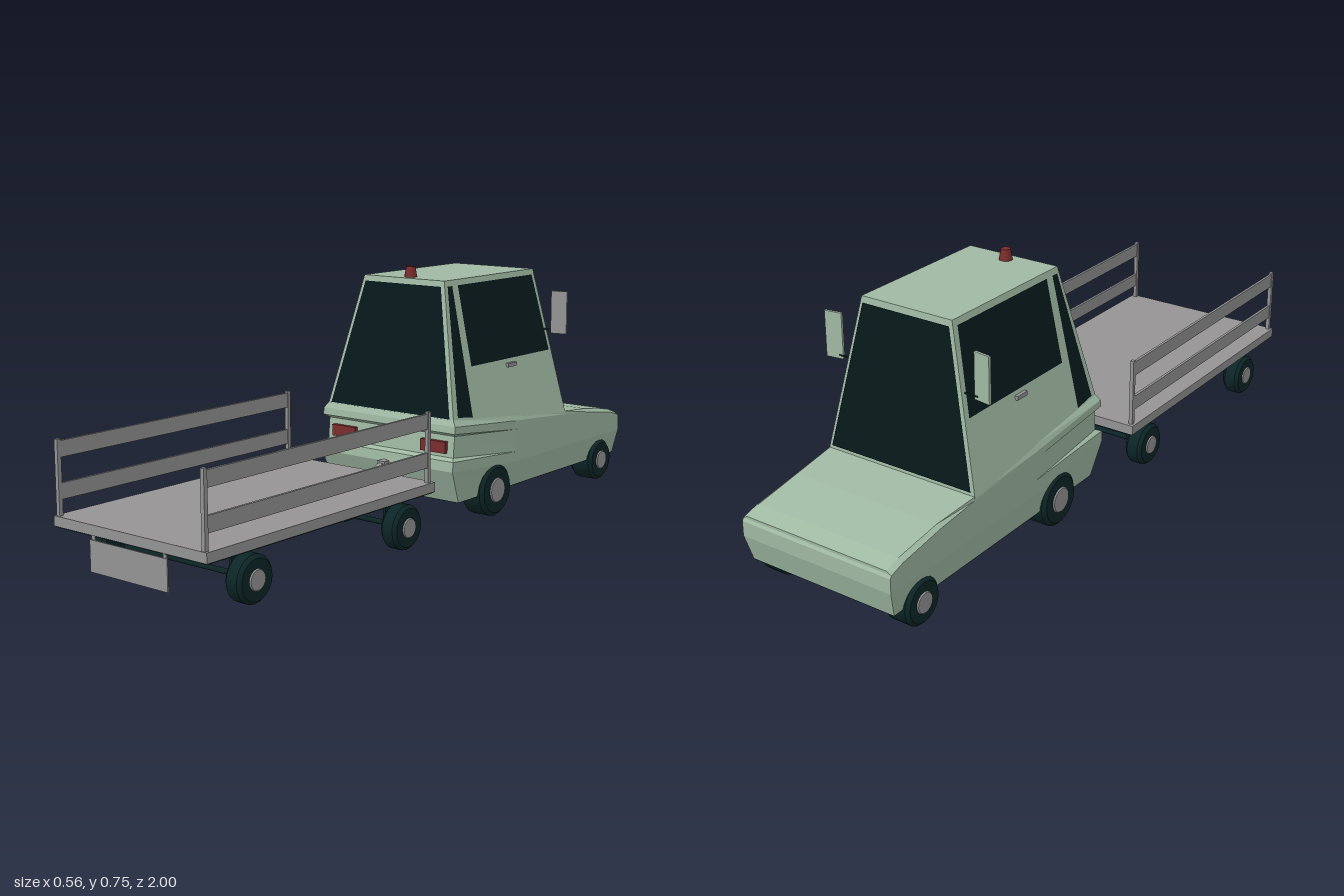
import * as THREE from 'three';
import { toCreasedNormals } from 'three/addons/utils/BufferGeometryUtils.js';

const mat = (name, color, side = THREE.FrontSide) => {
  const m = new THREE.MeshStandardMaterial({ color, side });
  m.name = name;
  return m;
};

export function createModel() {
  const model = new THREE.Group();
  model.name = 'tugAndTrailer';
  const green = mat('paleGreenPaint', 0x9fb9a3);
  const grey = mat('greyMetal', 0x959393);
  const tyre = mat('darkRubber', 0x0c2526);
  const glass = mat('darkGlass', 0x07191b, THREE.DoubleSide);
  const red = mat('redLamp', 0x7a2c2c);

  const add = (parent, name, geo, material, x = 0, y = 0, z = 0) => {
    const m = new THREE.Mesh(geo, material);
    m.name = name;
    m.position.set(x, y, z);
    parent.add(m);
    return m;
  };
  const box = (parent, name, material, w, h, d, x, y, z) =>
    add(parent, name, new THREE.BoxGeometry(w, h, d), material, x, y, z);
  // flat-shaded geometry from four-cornered faces
  const quads = (faces) => {
    const pos = [];
    for (const [a, b, c, d] of faces) pos.push(...a, ...b, ...c, ...a, ...c, ...d);
    const g = new THREE.BufferGeometry();
    g.setAttribute('position', new THREE.Float32BufferAttribute(pos, 3));
    g.computeVertexNormals();
    return g;
  };

  const tug = new THREE.Group();
  tug.name = 'tug';
  model.add(tug);

  // Lower body: half sections [x, y, z] from sill to top edge, nose to tail
  const section = (z, pts) => pts.map(([x, y, pz]) => [x, y, pz ?? z]);
  const plain = (z, sill, top, topX, drop, zTop = z) => section(z, [
    [0.24, 0.075, sill], [0.25, 0.15], [0.25, 0.18], [0.25, 0.19],
    [0.25, top - drop - 0.012], [0.25, top - drop - 0.008],
    [0.25, top - drop, zTop], [topX, top, zTop]]);
  const stations = [
    plain(-1, -0.98, 0.21, 0.235, 0.008, -0.995),
    plain(-0.95, -0.95, 0.226, 0.236, 0.01),
    plain(-0.8, -0.8, 0.25, 0.238, 0.01),
    plain(-0.655, -0.655, 0.265, 0.249, 0.01),
    section(-0.38, [[0.24, 0.075], [0.25, 0.15], [0.25, 0.18], [0.25, 0.19],
      [0.25, 0.25], [0.25, 0.256], [0.25, 0.277], [0.243, 0.295]]),
    section(-0.05, [[0.24, 0.075, -0.085], [0.25, 0.175, -0.04], [0.25, 0.205, -0.043],
      [0.238, 0.213, -0.06], [0.238, 0.277, -0.066], [0.25, 0.287, -0.05],
      [0.25, 0.308, -0.052], [0.237, 0.325, -0.06]]),
  ];
  const mirrorX = ([x, y, z]) => [-x, y, z];
  const rings = stations.map((s) => [...s, ...s.map(mirrorX).reverse()]);
  const faces = [];
  for (let i = 0; i < rings.length - 1; i++)
    for (let j = 0; j < rings[0].length - 1; j++)
      faces.push([rings[i][j], rings[i][j + 1], rings[i + 1][j + 1], rings[i + 1][j]]);
  const nose = stations[0], tail = stations[stations.length - 1];
  for (let j = 0; j < nose.length - 1; j++) {
    faces.push([tail[j], tail[j + 1], mirrorX(tail[j + 1]), mirrorX(tail[j])]);
    faces.push([mirrorX(nose[j]), mirrorX(nose[j + 1]), nose[j + 1], nose[j]]);
  }
  add(tug, 'lowerBody', quads(faces), green);
  box(tug, 'underside', tyre, 0.478, 0.006, 0.893, 0, 0.076, -0.5325);

  // Cab: planes lean inwards towards the roof
  const sideX = (y) => 0.15 + (0.72 - y) * 0.22;
  const frontZ = (y) => -0.605 - (0.72 - y) * 0.11;
  const rearZ = (y) => -0.13 + (0.72 - y) * 0.175;
  const corner = (s, y, zAt) => [s * sideX(y), y, zAt(y)];
  const [fl, fr] = [1, -1].map((s) => [corner(s, 0.26, frontZ), corner(s, 0.72, frontZ)]);
  const [rl, rr] = [1, -1].map((s) => [corner(s, 0.322, rearZ), corner(s, 0.72, rearZ)]);
  add(tug, 'cab', quads([
    [fl[0], fl[1], rl[1], rl[0]], [rr[0], rr[1], fr[1], fr[0]],
    [rl[0], rl[1], rr[1], rr[0]], [fr[0], fr[1], fl[1], fl[0]],
    [fl[1], fr[1], rr[1], rl[1]],
  ]), green);

  // Windows lie just outside the cab planes
  const endPane = (name, zAt, out, y0, y1, inset) => {
    const p = (s, y) => [s * (sideX(y) - inset), y, zAt(y) + out];
    const f = [p(1, y0), p(1, y1), p(-1, y1), p(-1, y0)];
    add(tug, name, quads([out > 0 ? f : f.reverse()]), glass);
  };
  endPane('rearWindow', rearZ, 0.003, 0.327, 0.703, 0.012);
  endPane('windscreen', frontZ, -0.003, 0.275, 0.703, 0.01);
  for (const s of [1, -1]) {
    const pane = (name, pts) => {
      const f = pts.map(([z, y]) => [s * (sideX(y) + 0.002), y, z]);
      add(tug, name, quads([s > 0 ? f : f.reverse()]), glass);
    };
    pane('doorWindow', [[-0.617, 0.465], [-0.59, 0.703], [-0.19, 0.703], [-0.19, 0.465]]);
    pane('quarterWindow', [[-0.155, 0.32], [-0.162, 0.703], [-0.139, 0.703], [-0.082, 0.33]]);
    box(tug, 'doorHandle', grey, 0.012, 0.012, 0.045, s * 0.213, 0.446, -0.395);

    // Wing mirror
    const wing = new THREE.Group();
    wing.name = 'wingMirror';
    wing.position.set(s * 0.248, 0.5875, -0.612);
    wing.rotation.y = s * 0.15;
    tug.add(wing);
    box(wing, 'mirrorShell', green, 0.053, 0.134, 0.005, 0, 0, 0);
    box(wing, 'mirrorGlass', grey, 0.053, 0.134, 0.003, 0, 0, 0.004);
    box(tug, 'mirrorArm', tyre, 0.05, 0.004, 0.004, s * 0.208, 0.531, -0.612);

    box(tug, 'tailLamp', red, 0.09, 0.035, 0.016, s * 0.17, 0.242, -0.058);
  }

  // Roof beacon
  add(tug, 'beacon', toCreasedNormals(new THREE.CylinderGeometry(0.014, 0.02, 0.034, 12), 0.7),
    red, 0, 0.735, -0.165);

  // Wheels with a chamfered tread and a grey hub
  const wheel = (parent, name, s, xIn, xOut, z, r, hubR) => {
    const w = (xOut - xIn) / 2;
    const profile = [[0, -w], [r * 0.86, -w], [r, -w + 0.01], [r, w - 0.01], [r * 0.86, w], [0, w]]
      .map(([a, b]) => new THREE.Vector2(a, b));
    const g = new THREE.Group();
    g.name = name;
    g.position.set(s * (xIn + w), r, z);
    g.rotation.z = -s * Math.PI / 2;
    parent.add(g);
    add(g, 'tyre', toCreasedNormals(new THREE.LatheGeometry(profile, 20), 0.5), tyre);
    add(g, 'hub', toCreasedNormals(new THREE.CylinderGeometry(hubR * 0.9, hubR, 0.006, 16), 0.7),
      grey, 0, w + 0.001, 0);
  };
  const axle = (parent, z, y, half) => {
    const a = add(parent, 'axle', new THREE.CylinderGeometry(0.008, 0.008, half * 2, 8), tyre, 0, y, z);
    a.rotation.z = Math.PI / 2;
  };
  for (const s of [1, -1]) {
    wheel(tug, 'tugRearWheel', s, 0.175, 0.256, -0.265, 0.081, 0.04);
    wheel(tug, 'tugFrontWheel', s, 0.175, 0.256, -0.88, 0.067, 0.032);
  }
  axle(tug, -0.265, 0.081, 0.18);
  axle(tug, -0.88, 0.067, 0.18);

  // Trailer
  const trailer = new THREE.Group();
  trailer.name = 'trailer';
  model.add(trailer);
  box(trailer, 'deck', grey, 0.556, 0.028, 0.914, 0, 0.161, 0.54);
  box(trailer, 'deckUnderside', tyre, 0.55, 0.004, 0.908, 0, 0.146, 0.54);
  for (const s of [1, -1]) {
    for (const z of [0.1, 0.988]) box(trailer, 'post', grey, 0.012, 0.205, 0.012, s * 0.264, 0.277, z);
    for (const y of [0.24, 0.352]) box(trailer, 'sideRail', grey, 0.008, 0.044, 0.888, s * 0.264, y, 0.544);
    for (const z of [0.2, 0.82]) {
      wheel(trailer, 'trailerWheel', s, 0.22, 0.275, z, 0.065, 0.03);
      box(trailer, 'axleBracket', tyre, 0.008, 0.105, 0.045, s * 0.205, 0.0925, z);
    }
    box(trailer, 'hitchBracket', tyre, 0.008, 0.105, 0.04, s * 0.03, 0.0925, 0.17);
    box(trailer, 'flapHanger', grey, 0.012, 0.02, 0.004, s * 0.13, 0.14, 0.992);
  }
  for (const z of [0.2, 0.82]) axle(trailer, z, 0.067, 0.225);
  box(trailer, 'rearFlap', grey, 0.282, 0.086, 0.004, 0, 0.092, 0.995);

  // Drawbar sloping up to the tug
  const bar = box(trailer, 'drawbar', grey, 0.016, 0.014, 0.235, 0, 0.128, 0.064);
  bar.rotation.x = Math.atan2(0.09, 0.21);
  box(trailer, 'hitchPin', grey, 0.03, 0.012, 0.03, 0, 0.172, -0.035);
  const pivot = add(trailer, 'drawbarPivot', new THREE.CylinderGeometry(0.008, 0.008, 0.07, 8), tyre, 0, 0.085, 0.165);
  pivot.rotation.z = Math.PI / 2;

  return model;
}
